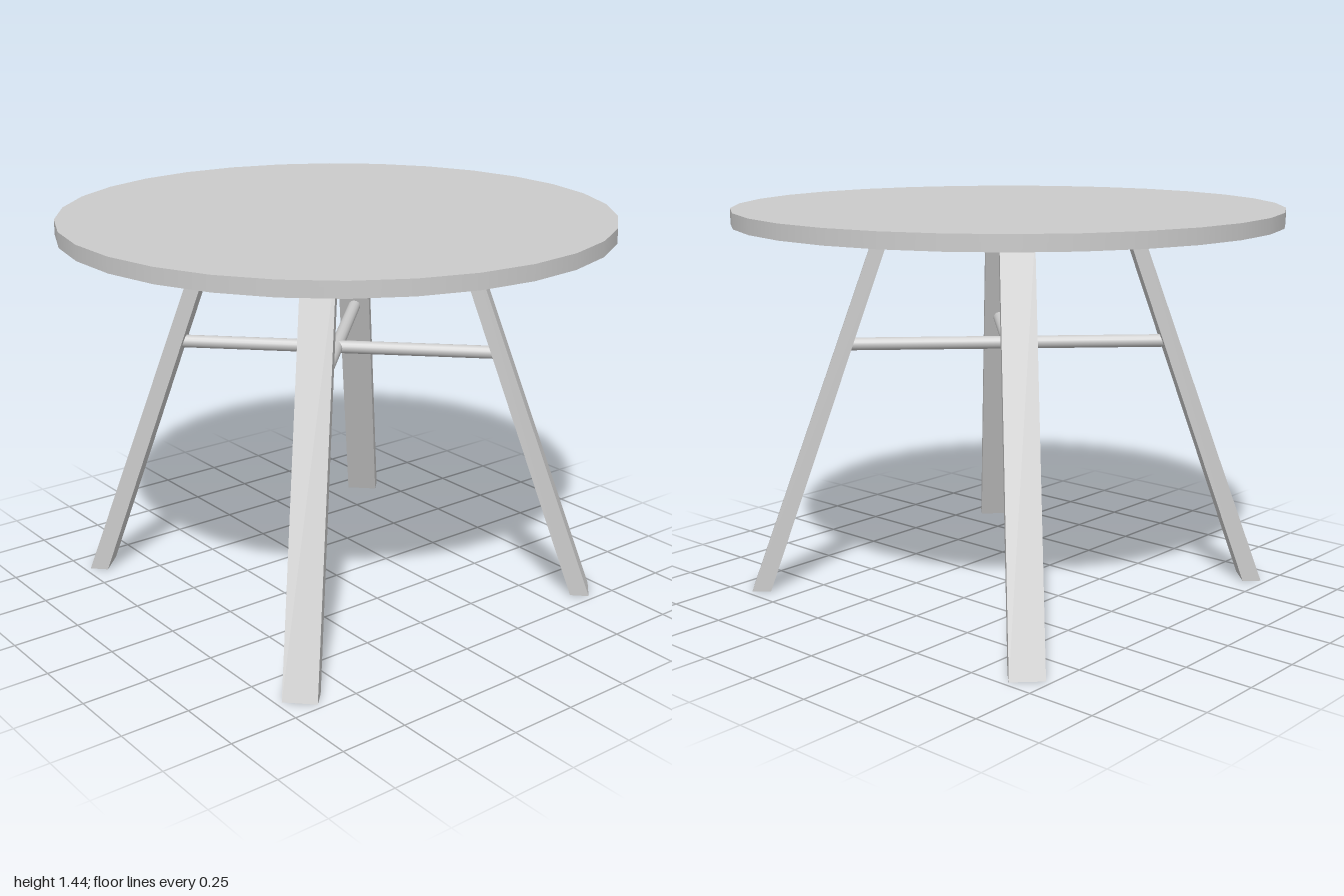
import * as THREE from 'three';

const TOP_Y = 1.44, UNDER_Y = 1.385;      // tabletop faces
const FOOT_R = 0.936, HEAD_R = 0.445;     // distance of leg ends from the axis
const material = new THREE.MeshStandardMaterial({ color: 0xcccccc });

function addMesh(parent, name, geometry) {
  const mesh = new THREE.Mesh(geometry, material);
  mesh.name = name;
  parent.add(mesh);
  return mesh;
}

// Rectangular leg leaning inwards along local x, cut level at both ends
function legGeometry() {
  const geometry = new THREE.BoxGeometry(1, UNDER_Y, 0.12);
  geometry.translate(0, UNDER_Y / 2, 0);
  const p = geometry.attributes.position;
  for (let i = 0; i < p.count; i++) {
    const t = p.getY(i) / UNDER_Y;
    const depth = THREE.MathUtils.lerp(0.07, 0.056, t);
    p.setX(i, THREE.MathUtils.lerp(FOOT_R, HEAD_R, t) + p.getX(i) * depth);
  }
  geometry.computeVertexNormals();
  return geometry;
}

export function createModel() {
  const table = new THREE.Group();
  table.name = 'roundTable';

  // Round top with thirty sides
  const top = addMesh(table, 'tabletop', new THREE.CylinderGeometry(1, 1, TOP_Y - UNDER_Y, 30));
  top.position.y = (TOP_Y + UNDER_Y) / 2;
  top.rotation.y = Math.PI / 2;

  // Four splayed legs on the diagonals
  const leg = legGeometry();
  ['frontLeftLeg', 'backLeftLeg', 'backRightLeg', 'frontRightLeg'].forEach((name, i) => {
    addMesh(table, name, leg).rotation.y = -Math.PI / 4 + i * Math.PI / 2;
  });

  // Two crossed round stretchers joining opposite legs
  const bar = new THREE.CylinderGeometry(0.024, 0.024, 1.21, 16).rotateZ(Math.PI / 2);
  [1, -1].forEach((side) => {
    const stretcher = addMesh(table, side > 0 ? 'stretcherA' : 'stretcherB', bar);
    stretcher.position.y = 0.934;
    stretcher.rotation.y = side * Math.PI / 4;
  });

  return table;
}
